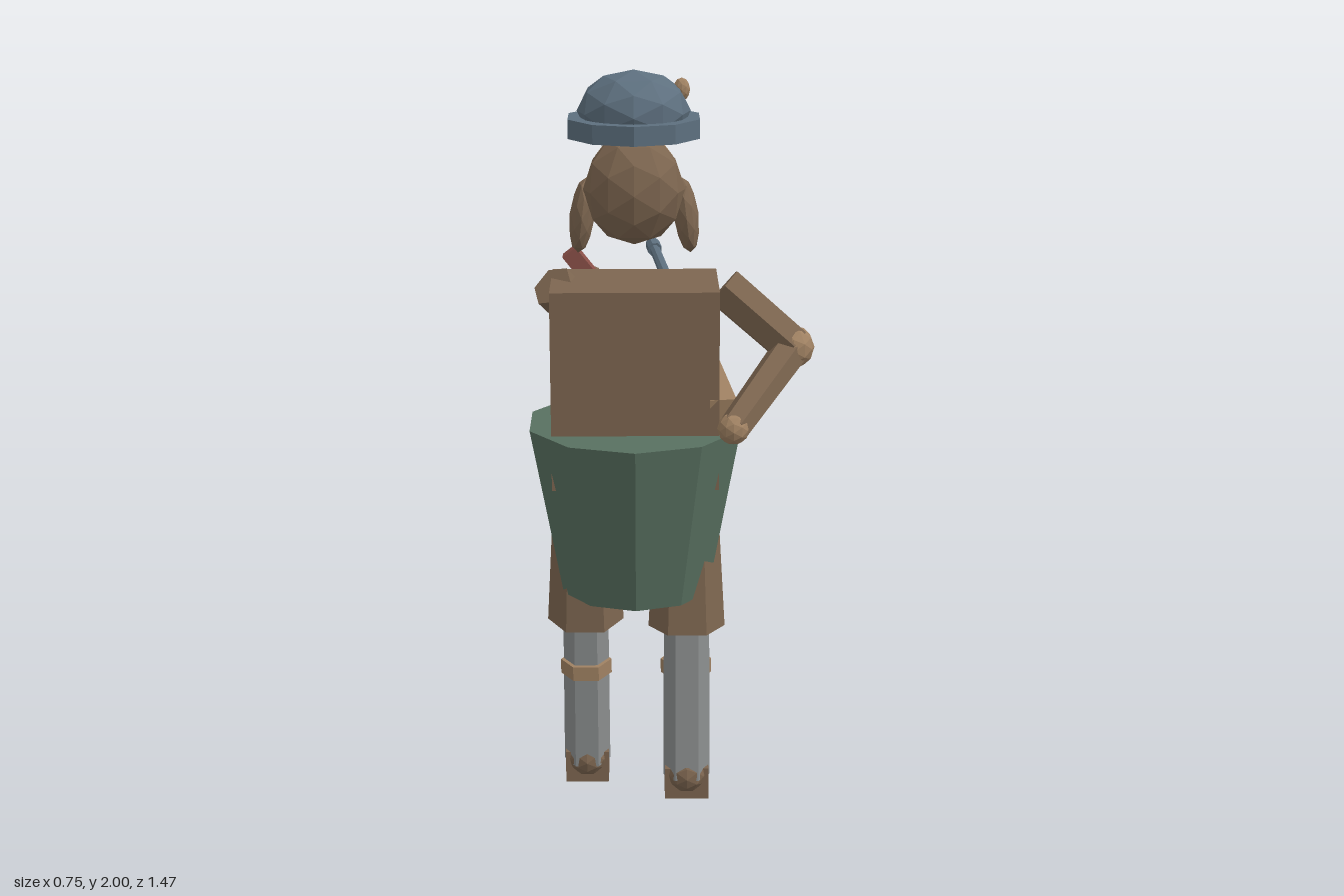
import * as THREE from 'three';

const mat = (name, color) => {
  const m = new THREE.MeshStandardMaterial({ color });
  m.name = name;
  return m;
};

export function createModel() {
  const brown = mat('brown cloth', 0x7d6650);
  const tan = mat('tan skin', 0x9f8162);
  const blue = mat('slate blue', 0x5d6f7e);
  const green = mat('kilt green', 0x587060);
  const grey = mat('stocking grey', 0x8b8e8e);
  const red = mat('sash red', 0x8a5048);
  const cream = mat('shirt cream', 0xc2bcaa);

  const model = new THREE.Group();
  model.name = 'figure';
  const CX = -0.104, CZ = 0.44; // body axis
  const V = (x, y, z) => new THREE.Vector3(x, y, z);

  // Adds a faceted mesh
  const add = (name, geo, material, pos) => {
    const g = geo.index ? geo.toNonIndexed() : geo;
    g.computeVertexNormals();
    const mesh = new THREE.Mesh(g, material);
    mesh.name = name;
    mesh.position.copy(pos);
    model.add(mesh);
    return mesh;
  };
  const box = (name, m, w, h, d, x, y, z) => add(name, new THREE.BoxGeometry(w, h, d), m, V(x, y, z));
  const blob = (name, m, rx, ry, rz, x, y, z, detail = 1) =>
    add(name, new THREE.IcosahedronGeometry(1, detail).scale(rx, ry, rz), m, V(x, y, z));
  const tube = (name, m, rTop, rBottom, h, sides, x, y, z, turn = 0) =>
    add(name, new THREE.CylinderGeometry(rTop, rBottom, h, sides).rotateY(turn), m, V(x, y, z));
  // Tapered prism from point a to point b
  const limb = (name, m, a, b, ra, rb, sides = 6) => {
    const d = b.clone().sub(a);
    const mesh = add(name, new THREE.CylinderGeometry(rb, ra, d.length(), sides).rotateY(Math.PI / 6), m,
      a.clone().add(b).multiplyScalar(0.5));
    mesh.quaternion.setFromUnitVectors(V(0, 1, 0), d.normalize());
    return mesh;
  };

  // Cap
  tube('capBrim', blue, 0.178, 0.178, 0.05, 10, CX, 1.855, CZ);
  blob('capDome', blue, 0.147, 0.105, 0.147, CX, 1.895, CZ, 1);
  blob('capButton', tan, 0.022, 0.03, 0.022, 0.02, 1.945, 0.41);

  // Head, facing -z
  blob('face', tan, 0.125, 0.15, 0.12, CX, 1.695, 0.43);
  blob('hair', brown, 0.132, 0.145, 0.11, CX, 1.7, 0.495);
  blob('nose', brown, 0.04, 0.032, 0.025, CX, 1.625, 0.33);
  for (const s of [-1, 1]) {
    const ear = blob('ear', brown, 0.033, 0.1, 0.06, CX + s * 0.135, 1.625, 0.46);
    ear.rotation.z = s * 0.12;
  }

  // Torso, shirt front and kilt
  box('torso', brown, 0.44, 0.535, 0.28, CX, 1.178, CZ);
  box('shirtFront', cream, 0.28, 0.28, 0.03, CX, 1.28, 0.29);
  tube('kilt', green, 0.293, 0.205, 0.465, 10, CX, 0.828, CZ);

  // Diagonal sash with round pouches
  const sashTop = V(-0.28, 1.49, 0.272), sashEnd = V(0.05, 1.07, 0.272);
  const sash = box('sash', red, 0.045, sashTop.distanceTo(sashEnd), 0.05, 0, 0, 0);
  sash.position.lerpVectors(sashTop, sashEnd, 0.5);
  sash.rotation.z = Math.atan2(sashEnd.x - sashTop.x, sashTop.y - sashEnd.y);
  for (const t of [0.2, 0.42, 0.64, 0.86]) {
    const p = sashTop.clone().lerp(sashEnd, t);
    blob('sashPouch', brown, 0.024, 0.035, 0.02, p.x, p.y, 0.243);
  }

  // Hanging rods
  [red, blue, grey, blue, red].forEach((_, i) => {
    const m = [red, blue, grey, red, blue][i];
    tube('hangingRod', m, 0.012, 0.012, 0.43, 6, CX - 0.176 + i * 0.086, 0.825, 0.18);
  });

  // Legs, one stepping forward
  for (const s of [-1, 1]) {
    const x = CX + s * 0.138;
    const hip = V(x, 0.92, CZ + 0.015), ankle = V(x, 0.06, 0.458 + s * 0.055);
    const knee = hip.clone().lerp(ankle, 0.5);
    limb('breeches', brown, hip, knee, 0.08, 0.104);
    limb('stocking', grey, knee, ankle, 0.062, 0.064);
    tube('garter', tan, 0.07, 0.07, 0.04, 6, x, 0.35, 0.43, Math.PI / 6);
    blob('heel', brown, 0.055, 0.055, 0.055, x, 0.07, 0.468 + s * 0.055);
    box('shoe', brown, 0.12, 0.09, 0.22, x, 0.045, 0.38 + s * 0.055);
  }

  // Arms: shoulder, elbow, hand
  const arms = [
    ['left', V(0.13, 1.43, 0.445), V(0.312, 1.275, 0.48), V(0.148, 1.115, 0.695), 0.042],
    ['right', V(-0.32, 1.43, 0.43), V(-0.12, 1.17, 0.22), V(0.09, 1.21, -0.05), 0.05],
  ];
  for (const [side, shoulder, elbow, hand, r] of arms) {
    limb(side + 'UpperArm', brown, shoulder, elbow, 0.06, 0.058);
    limb(side + 'Forearm', brown, elbow, hand, 0.05, 0.042);
    blob(side + 'Elbow', tan, 0.058, 0.058, 0.058, elbow.x, elbow.y, elbow.z);
    blob(side + 'Hand', tan, r, r, r, hand.x, hand.y, hand.z);
  }

  // Long gun pointing along -z
  const muzzle = V(-0.047, 1.293, -0.73), butt = V(0.127, 1.12, 0.58);
  const at = (t) => muzzle.clone().lerp(butt, t);
  limb('barrel', blue, at(0), at(0.55), 0.016, 0.018, 8);
  limb('muzzleRing', blue, at(0), at(0.04), 0.023, 0.023, 8);
  const stock = box('gunStock', tan, 0.07, 0.075, 0.64, 0, 0, 0);
  stock.position.copy(at(0.755));
  stock.lookAt(butt);

  return model;
}
